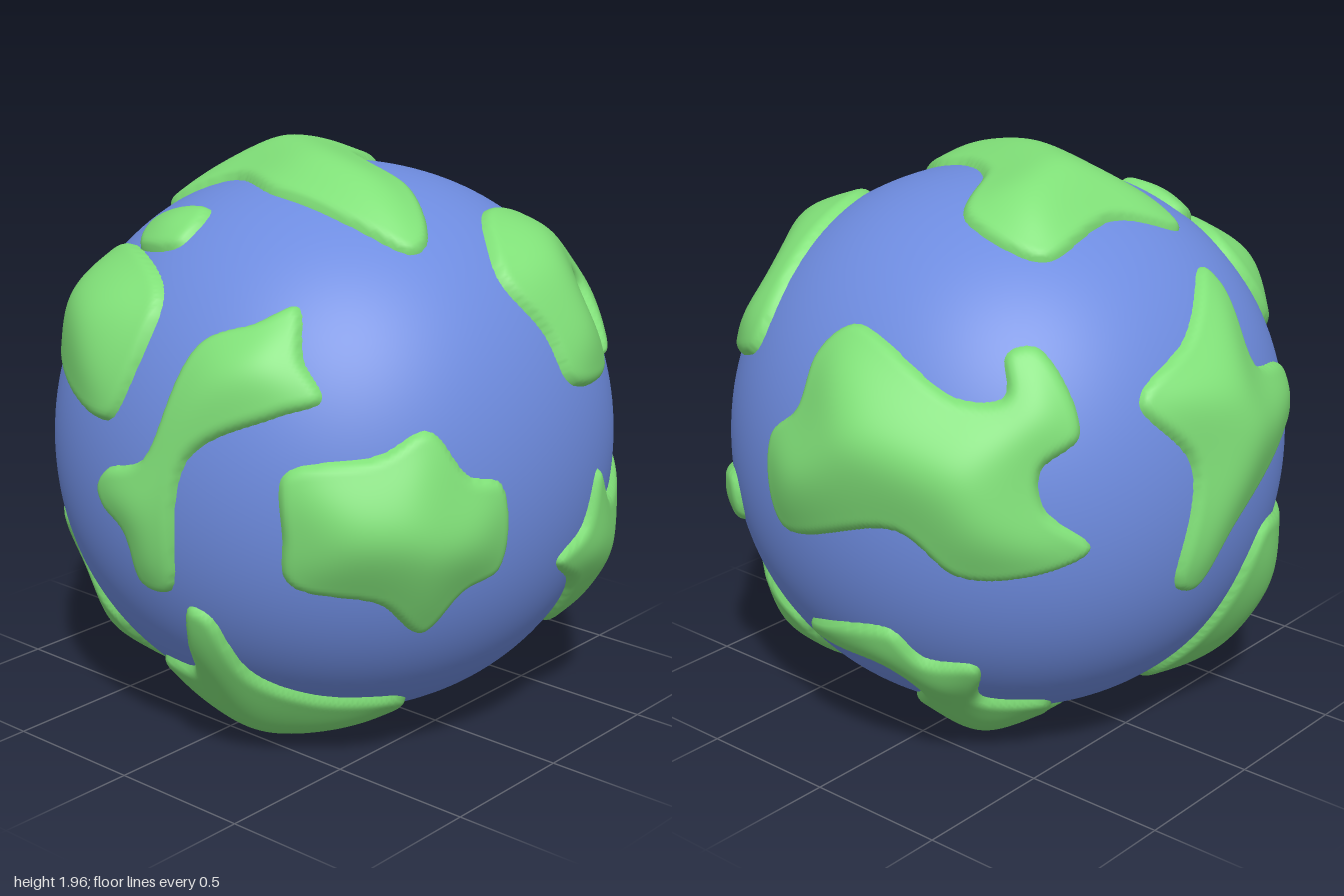
import * as THREE from 'three';
import { mergeVertices } from 'three/addons/utils/BufferGeometryUtils.js';

const R = 0.935, CELL = 0.013;
const CENTER = new THREE.Vector3(0.045, 0.945, 0.01);
const BLUE = new THREE.MeshStandardMaterial({ color: 0x6e8ce0 });
const GREEN = new THREE.MeshStandardMaterial({ color: 0x80e078 });

// Directions a coastline is sketched from: azimuth, elevation (degrees), where the globe's centre lies, sketch scale
const SIDES = {
  front: [0, 0, 0.045, 0.945, 1],
  right: [90, 0, -0.01, 0.945, 1],
  left: [-90, 0, 0.01, 0.945, 1],
  top: [0, 90, 0.045, -0.01, 1],
  bottom: [0, -90, 0.045, 0.01, 1],
  back: [215, 25, 0, 0, 1.032],
  underBack: [142, -30, 0, 0, 1.032],
};

// The globe is a rounded cube that is almost a ball: slightly fuller towards its diagonals
const radiusAt = (d) => R * (1 + 0.052 * (1 - d.x ** 4 - d.y ** 4 - d.z ** 4));

// Sketch points to unit directions on the globe
function toDirections(side, flat) {
  const [az, el, cx, cy, scale] = SIDES[side];
  const turn = new THREE.Euler(-THREE.MathUtils.degToRad(el), THREE.MathUtils.degToRad(az), 0, 'YXZ');
  const dirs = [];
  for (let i = 0; i < flat.length; i += 2) {
    const dir = new THREE.Vector3();
    let r = R;
    for (let pass = 0; pass < 5; pass++) {
      const p = new THREE.Vector2(flat[i] - cx, flat[i + 1] - cy).multiplyScalar(scale / r).clampLength(0, 0.995);
      dir.set(p.x, p.y, Math.sqrt(1 - p.lengthSq())).applyEuler(turn);
      r = radiusAt(dir);
    }
    dirs.push(dir);
  }
  return dirs;
}

// Signed distance to a closed outline, positive inside
function signedDistance(x, y, line) {
  let best = Infinity, inside = false;
  for (let i = 0, j = line.length - 1; i < line.length; j = i++) {
    const a = line[j], b = line[i], ex = b.x - a.x, ey = b.y - a.y;
    const t = THREE.MathUtils.clamp(((x - a.x) * ex + (y - a.y) * ey) / (ex * ex + ey * ey || 1), 0, 1);
    best = Math.min(best, Math.hypot(x - a.x - t * ex, y - a.y - t * ey));
    if ((a.y > y) !== (b.y > y) && x < a.x + ex * (y - a.y) / ey) inside = !inside;
  }
  return inside ? best : -best;
}

// A pillow-shaped patch that rises out of the globe along its coastline
function landGeometry(side, flat) {
  const dirs = toDirections(side, flat);
  const mid = dirs.reduce((s, d) => s.add(d), new THREE.Vector3()).normalize();
  const q = new THREE.Quaternion().setFromUnitVectors(new THREE.Vector3(0, 0, 1), mid);
  const qInv = q.clone().invert();
  const flatDirs = dirs.map((d) => {
    const v = d.clone().applyQuaternion(qInv), angle = Math.acos(Math.min(1, v.z));
    const k = angle / (Math.hypot(v.x, v.y) || 1);
    return new THREE.Vector3(v.x * k, v.y * k, 0);
  });
  const line = new THREE.CatmullRomCurve3(flatDirs, true, 'centripetal').getPoints(flatDirs.length * 8).slice(0, -1);
  const box = new THREE.Box3().setFromPoints(line).expandByScalar(CELL * 3);
  const nx = Math.ceil((box.max.x - box.min.x) / CELL) + 1, ny = Math.ceil((box.max.y - box.min.y) / CELL) + 1;

  const sd = [];
  for (let j = 0; j < ny; j++)
    for (let i = 0; i < nx; i++) sd.push(signedDistance(box.min.x + i * CELL, box.min.y + j * CELL, line));

  // Soften the ridge so the middle forms a gentle dome
  let dome = sd.map((d) => Math.max(d, 0));
  for (let pass = 0; pass < 24; pass++) {
    const next = dome.slice();
    for (let j = 1; j < ny - 1; j++)
      for (let i = 1; i < nx - 1; i++) {
        let sum = 0;
        for (let b = -1; b <= 1; b++) for (let a = -1; a <= 1; a++) sum += dome[(j + b) * nx + i + a];
        next[j * nx + i] = sum / 9;
      }
    dome = next;
  }

  const pos = [], index = [], v = new THREE.Vector3();
  sd.forEach((d, n) => {
    const x = box.min.x + (n % nx) * CELL, y = box.min.y + Math.floor(n / nx) * CELL;
    const edge = Math.sqrt(1 - (1 - THREE.MathUtils.clamp(d / 0.035, 0, 1)) ** 2);
    const h = d < 0 ? d * 1.2 : edge * (0.017 + 0.35 * dome[n]);
    const angle = Math.hypot(x, y), k = angle > 1e-6 ? Math.sin(angle) / angle : 1;
    v.set(x * k, y * k, Math.cos(angle)).applyQuaternion(q);
    v.multiplyScalar(radiusAt(v) + h);
    pos.push(v.x, v.y, v.z);
  });
  for (let j = 0; j < ny - 1; j++)
    for (let i = 0; i < nx - 1; i++) {
      const a = j * nx + i, b = a + 1, c = b + nx, d = a + nx;
      if (Math.max(sd[a], sd[b], sd[c], sd[d]) > -CELL * 0.5) index.push(a, b, c, a, c, d);
    }
  const geo = new THREE.BufferGeometry();
  geo.setAttribute('position', new THREE.Float32BufferAttribute(pos, 3));
  geo.setIndex(index);
  geo.computeVertexNormals();
  return geo;
}

function oceanGeometry() {
  const ball = new THREE.IcosahedronGeometry(1, 28);
  ball.deleteAttribute('normal');
  ball.deleteAttribute('uv');
  const geo = mergeVertices(ball), p = geo.attributes.position, v = new THREE.Vector3();
  for (let i = 0; i < p.count; i++) {
    v.fromBufferAttribute(p, i).normalize();
    v.multiplyScalar(radiusAt(v));
    p.setXYZ(i, v.x, v.y, v.z);
  }
  geo.computeVertexNormals();
  return geo;
}

export function createModel() {
  const model = new THREE.Group();
  model.name = 'globe';
  const add = (name, geometry, material) => {
    const mesh = new THREE.Mesh(geometry, material);
    mesh.name = name;
    mesh.position.copy(CENTER);
    model.add(mesh);
  };
  const land = (name, side, ...coast) => add(name, landGeometry(side, coast), GREEN);

  add('ocean', oceanGeometry(), BLUE);

  // Front
  land('frontUpperLand', 'front', -.59, 1.36, -.53, 1.53, -.42, 1.62, -.05, 1.58, 0, 1.48, -.09, 1.18, -.2, 1.16,
    -.53, 1.27);
  land('smallIsland', 'front', -.34, 1.7, -.2, 1.76, -.08, 1.77, -.08, 1.68, -.28, 1.64);
  land('frontMiddleLand', 'front', -.15, .94, -.1, 1.01, .07, 1.08, .2, 1.45, .35, 1.52, .44, 1.57, .52, 1.43, .6, 1.32,
    .5, 1.27, .24, 1.11, .14, .65, .02, .65, -.02, .82, -.12, .88);
  land('lowerFrontLand', 'bottom', -.14, .62, -.1, .7, .07, .73, .14, .83, .2, .88, .27, .86, .32, .72, .44, .57,
    .6, .34, .56, .25, .08, .27, -.08, .45);

  // Sides
  land('rightFrontLand', 'right', -.82, .9, -.81, 1.1, -.62, 1.16, -.48, 1.22, -.38, 1.07, -.26, 1.02, -.25, .74,
    -.37, .69, -.46, .55, -.61, .68, -.8, .75);
  land('rightUpperLand', 'right', -.03, 1.6, .18, 1.75, .6, 1.57, .75, 1.34, .52, 1.25, .55, 1.46, .46, 1.51, .39, 1.46,
    .4, 1.24, .12, 1.26, .06, 1.42);
  land('leftLand', 'left', .2, 1.62, -.07, 1.47, -.32, 1.33, -.17, 1.1, -.21, .7, -.12, .66, .02, .84, .35, 1.03,
    .53, 1.1, .5, 1.23, .22, 1.33, .24, 1.56);
  land('lowerLeftLand', 'bottom', -.84, .27, -.75, .49, -.61, .66, -.57, .61, -.33, .7, -.28, .51, -.22, .35,
    -.52, .06, -.7, .1);

  // Top, back and underside
  land('topLand', 'top', -.4, .35, -.1, .37, .04, .12, .2, .02, .39, -.03, .59, -.2, .58, -.28, .1, -.35, -.18, -.25,
    -.48, -.26, -.41, 0);
  land('backLand', 'back', -.68, -.08, -.58, 0, -.52, .17, -.4, .25, -.07, .02, .07, .03, .07, .16, .16, .18, .29, -.07,
    .18, -.18, .19, -.29, .33, -.4, .22, -.47, -.06, -.5, -.25, -.37, -.64, -.36);
  land('lowerRightLand', 'underBack', -.65, .07, -.57, .19, -.52, .37, -.42, .29, .06, .41, .08, .28, -.16, .17,
    -.14, .05, .02, .02, .19, -.1, -.05, -.49, -.12, -.46, -.14, -.25, -.34, -.18, -.51, 0);
  land('bottomLand', 'underBack', .32, -.09, .36, -.04, .67, -.06, .69, -.2, .76, -.29, .63, -.46, .62, -.6, .4, -.75,
    .2, -.86, .15, -.72, 0, -.69, .02, -.64, .32, -.49, .55, -.35, .56, -.21);
  return model;
}
